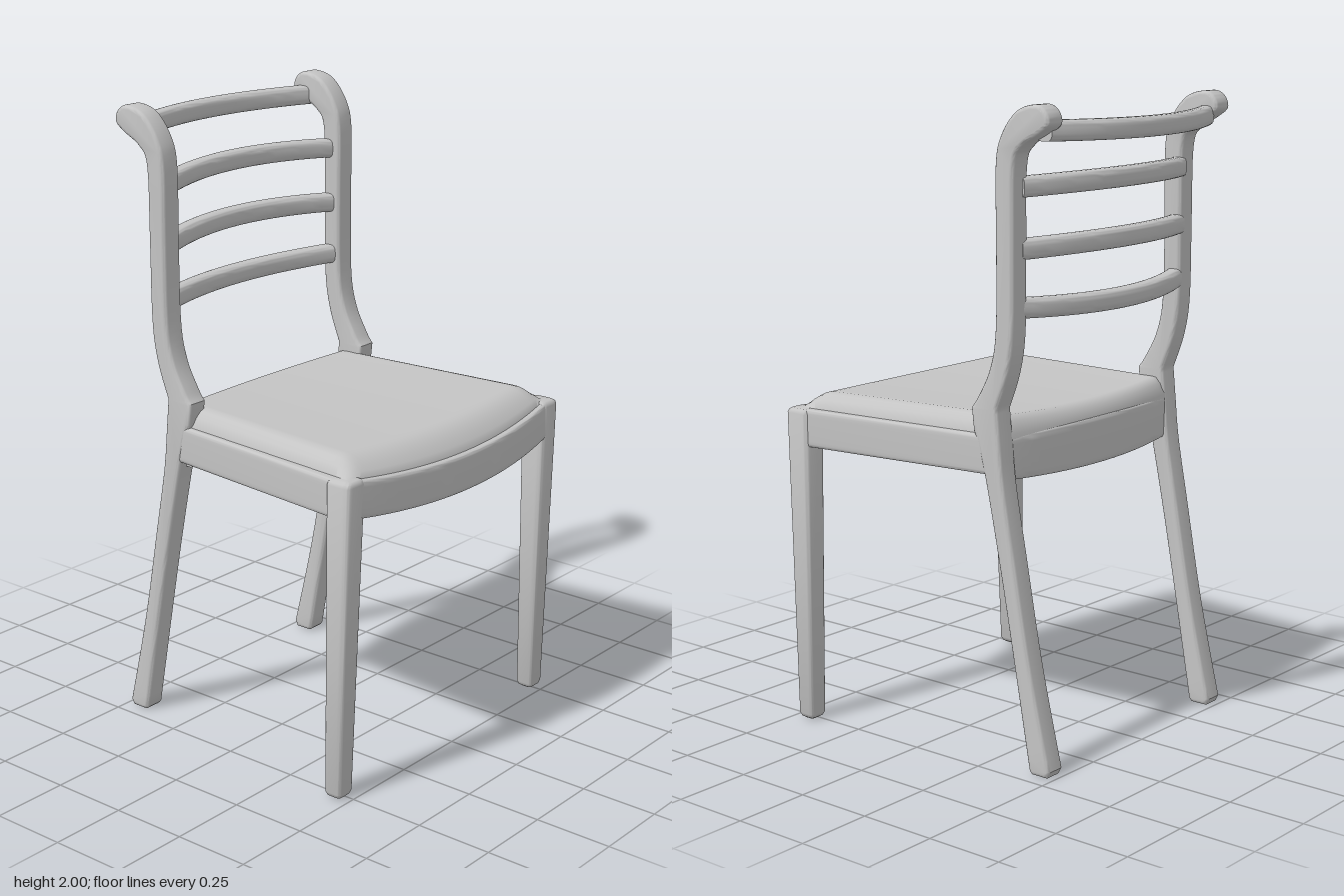
import * as THREE from 'three';
import { toCreasedNormals } from 'three/addons/utils/BufferGeometryUtils.js';

const V = (x, y, z) => new THREE.Vector3(x, y, z);
const X = V(1, 0, 0), Y = V(0, 1, 0), Z = V(0, 0, 1), BACK = V(0, 0, -1);
const lerp = THREE.MathUtils.lerp;

// Rounded-rectangle ring about c; a and b are half-extent directions, round 1 = ellipse
function ring(c, a, ra, b, rb, round = 0.3, n = 28) {
  return Array.from({ length: n }, (_, i) => {
    const t = ((i + 0.5) / n) * Math.PI * 2;
    const p = (v) => Math.sign(v) * Math.abs(v) ** round;
    return c.clone().addScaledVector(a, ra * p(Math.cos(t))).addScaledVector(b, rb * p(Math.sin(t)));
  });
}

// Closed skin through a list of rings
function loft(rings) {
  const n = rings[0].length, pos = [], idx = [];
  const mid = (r) => r.reduce((s, p) => s.add(p), V(0, 0, 0)).divideScalar(n);
  rings.flat().forEach((p) => pos.push(p.x, p.y, p.z));
  for (const r of [rings[0], rings[rings.length - 1]]) { const m = mid(r); pos.push(m.x, m.y, m.z); }
  const c0 = rings.length * n, last = (rings.length - 1) * n;
  for (let j = 0; j < n; j++) {
    const k = (j + 1) % n;
    for (let i = 0; i < rings.length - 1; i++) {
      const a = i * n, b = a + n;
      idx.push(a + j, a + k, b + k, a + j, b + k, b + j);
    }
    idx.push(c0, k, j, c0 + 1, last + j, last + k);
  }
  const g = new THREE.BufferGeometry();
  g.setAttribute('position', new THREE.Float32BufferAttribute(pos, 3));
  g.setIndex(idx);
  return toCreasedNormals(g, 0.7);
}

// Bar along x, with fn(t) giving centre y, z and half sizes for t in -1..1
function crossBar(half, fn, round) {
  const rings = [];
  for (let i = 0; i <= 24; i++) {
    const t = i / 12 - 1, s = fn(t);
    rings.push(ring(V(t * half, s.y, s.z), Y, s.h, Z, s.d, round));
  }
  return loft(rings);
}

// Back leg and upright in one piece: side outline given as [z, y]
function uprightGeometry() {
  const front = [[-0.41, 0.01], [-0.34, 0.39], [-0.29, 0.65], [-0.232, 0.92], [-0.195, 1.03]];
  const upper = [[-0.187, 1.1], [-0.21, 1.13], [-0.257, 1.22], [-0.28, 1.34], [-0.282, 1.6],
    [-0.281, 1.82], [-0.303, 1.91], [-0.36, 1.98], [-0.43, 2.0], [-0.467, 1.982], [-0.477, 1.945],
    [-0.44, 1.915], [-0.38, 1.88], [-0.35, 1.82], [-0.347, 1.6], [-0.345, 1.34], [-0.325, 1.21], [-0.285, 1.1]];
  const rear = [[-0.295, 1.0], [-0.31, 0.865], [-0.35, 0.65], [-0.41, 0.335], [-0.485, 0.02], [-0.475, 0]];
  const v2 = (a) => a.map(([z, y]) => new THREE.Vector2(z, y));
  const shape = new THREE.Shape();
  shape.moveTo(-0.42, 0);
  shape.lineTo(-0.41, 0.01);
  shape.splineThru(v2(front.slice(1)));
  shape.lineTo(-0.187, 1.1);
  shape.splineThru(v2(upper.slice(1)));
  shape.splineThru(v2(rear.slice(0, 5)));
  shape.lineTo(-0.475, 0);
  const w = 0.074, bevel = 0.012;
  const g = new THREE.ExtrudeGeometry(shape, {
    depth: w - 2 * bevel, bevelSize: bevel, bevelOffset: -bevel,
    bevelThickness: bevel, bevelSegments: 3, curveSegments: 5,
  });
  g.translate(0, 0, -(w - 2 * bevel) / 2).rotateY(-Math.PI / 2);
  return toCreasedNormals(g, 0.7);
}

// Padded seat: a box grid bent to the tapered, bowed plan with rolled edges
function cushionGeometry() {
  const g = new THREE.BoxGeometry(2, 2, 2, 48, 1, 48);
  const p = g.attributes.position;
  const roll = (d, w) => { const t = Math.min(1, d / w); return t * (2 - t); };
  for (let i = 0; i < p.count; i++) {
    const u = p.getX(i), v = p.getZ(i), t = (v + 1) / 2, bow = 1 - u * u;
    const z = lerp(-0.285 - 0.045 * bow, 0.48 + 0.055 * bow, t);
    const edge = 1.02 - 0.032 * bow * t * t;
    const crown = 1.078 - 0.012 * bow - 0.008 * t;
    const f = roll(1 - Math.abs(u), 0.13) * roll(1 - v, 0.25) * roll(1 + v, 0.1);
    p.setXYZ(i, u * lerp(0.43, 0.505, t), p.getY(i) > 0 ? lerp(edge, crown, f) : 0.95, z);
  }
  return toCreasedNormals(g, 0.8);
}

export function createModel() {
  const chair = new THREE.Group();
  chair.name = 'chair';
  const grey = new THREE.MeshStandardMaterial({ color: 0xc4c4c4 });
  grey.name = 'plain grey';
  const add = (name, geometry, x = 0) => {
    const m = new THREE.Mesh(geometry, grey);
    m.name = name;
    m.position.x = x;
    chair.add(m);
  };

  add('seatCushion', cushionGeometry());

  // Bowed front and back seat rails
  add('frontRail', crossBar(0.5, (t) => {
    const q = t * t, top = 0.99 + 0.03 * q, low = 0.87 + 0.03 * q;
    return { y: (top + low) / 2, h: (top - low) / 2, z: 0.515 - 0.055 * q, d: 0.04 };
  }, 0.2));
  add('backRail', crossBar(0.42, (t) => (
    { y: 0.945, h: 0.075 - 0.01 * t * t, z: -0.3 + 0.05 * t * t, d: 0.037 }), 0.2));

  const upright = uprightGeometry();
  for (const [side, s] of [['left', 1], ['right', -1]]) {
    add(side + 'BackPost', upright, s * 0.418);

    // Tapered front leg with softened foot and top: [y, shrink]
    const levels = [[0, 0.014], [0.006, 0.005], [0.018, 0], [0.5, 0], [1.005, 0], [1.015, 0.004], [1.02, 0.012]];
    add(side + 'FrontLeg', loft(levels.map(([y, inset]) => {
      const x = lerp(0.5075, 0.496, y), z = lerp(0.447, 0.464, y);
      return ring(V(s * x, y, z), X, lerp(0.0325, 0.043, y) - inset, BACK, lerp(0.031, 0.044, y) - inset, 0.35);
    })));

    // Side seat rail splaying toward the front
    add(side + 'SideRail', loft([-0.27, 0.1, 0.46].map((z) => {
      const x = lerp(0.412, 0.496, (z + 0.27) / 0.73);
      return ring(V(s * x, 0.96, z), X, 0.037, Y, 0.06, 0.2);
    })));
  }

  // Back slats bowed rearward: [height, end z, middle z]
  const slats = [[1.92, -0.425, -0.525], [1.765, -0.325, -0.417], [1.583, -0.32, -0.409], [1.395, -0.315, -0.4]];
  slats.forEach(([y, end, middle], i) => add('backSlat' + (i + 1), crossBar(0.405, (t) => (
    { y: y - 0.008 * t * t * (i === 0 ? -0.5 : i === 3 ? -1 : 1), h: 0.031, z: lerp(middle, end, t * t), d: 0.029 }), 0.6)));

  return chair;
}
